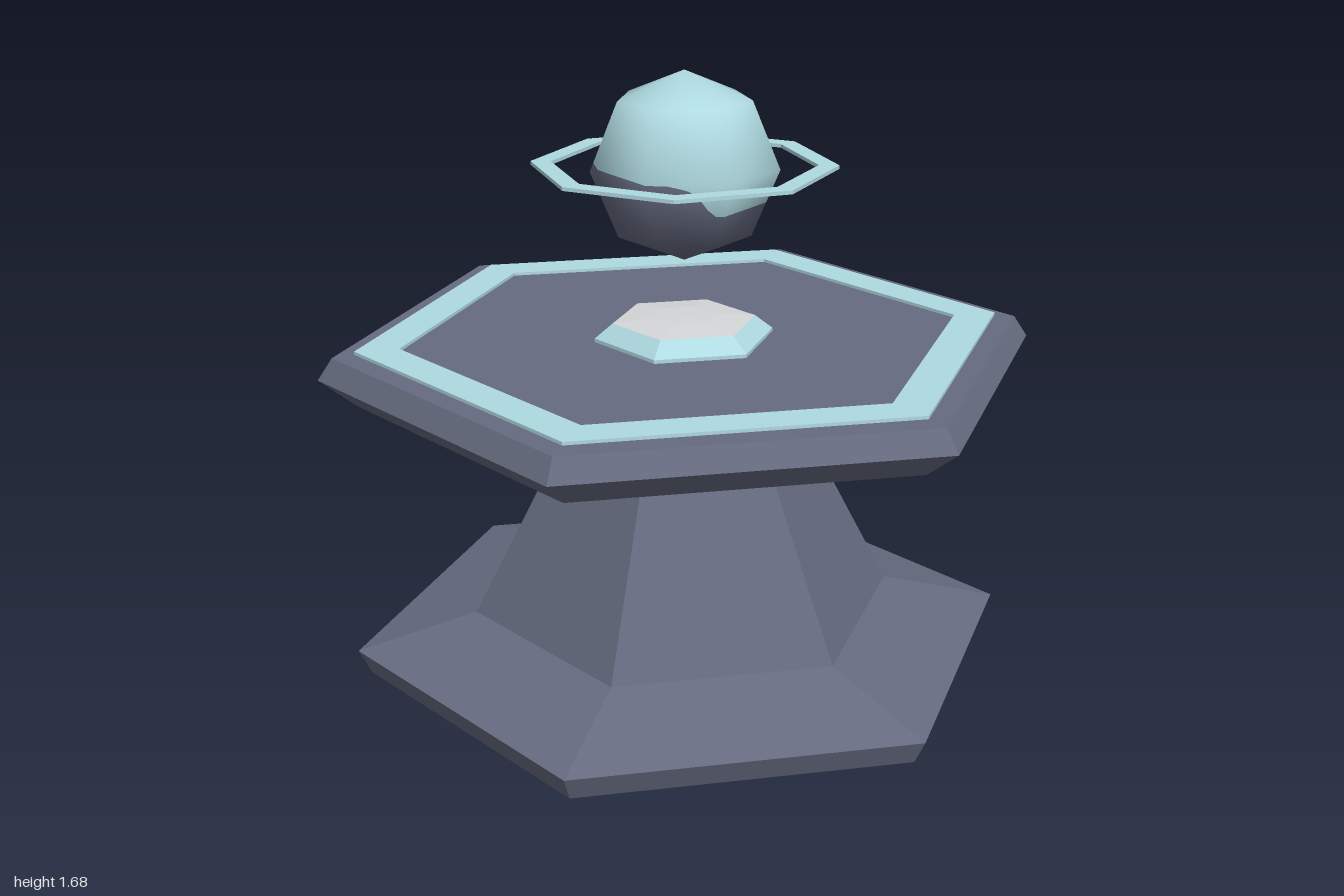
import * as THREE from 'three';

const slate = new THREE.MeshStandardMaterial({ color: 0x666b80 });
slate.name = 'slate';
const paleTeal = new THREE.MeshStandardMaterial({ color: 0xafdae1 });
paleTeal.name = 'paleTeal';
const paleGrey = new THREE.MeshStandardMaterial({ color: 0xd4d6d8 });
paleGrey.name = 'paleGrey';

// Faceted solid turned from a [radius, y] profile listed from bottom to top
function faceted(name, profile, sides, material) {
  const points = profile.map(([r, y]) => new THREE.Vector2(r, y));
  const geometry = new THREE.LatheGeometry(points, sides).toNonIndexed();
  geometry.computeVertexNormals();
  const mesh = new THREE.Mesh(geometry, material);
  mesh.name = name;
  return mesh;
}

// Flat polygonal band with a rectangular section
function band(name, inner, outer, y0, y1, sides, material) {
  const profile = [[inner, y0], [outer, y0], [outer, y1], [inner, y1], [inner, y0]];
  return faceted(name, profile, sides, material);
}

const lerpTable = (table, t) => {
  for (let i = 1; i < table.length; i++) {
    const [a, va] = table[i - 1], [b, vb] = table[i];
    if (t <= b) return va + (vb - va) * (t - a) / (b - a);
  }
  return table[table.length - 1][1];
};

// Orb: seven sides, four tiers, smooth normals
const ORB_Y = 1.42, R = 0.26, D = R * Math.SQRT1_2, SIDES = 7, SUB = 8;
const orbProfile = [[-R, 0], [-D, D], [0, R], [D, D], [R, 0]];
// Height of the colour boundary by angle in degrees, from +x towards +z
const boundary = [
  [0, -0.09], [112, -0.09], [125, -0.02], [140, 0], [200, 0.01], [225, 0.07],
  [250, 0.01], [300, 0.04], [325, -0.03], [348, -0.08], [360, -0.09],
];

function orbPart(name, rowsAt, material) {
  const positions = [], normals = [], index = [];
  const cols = SIDES * SUB;
  let rowCount = 0;
  for (let j = 0; j <= cols; j++) {
    const rows = rowsAt(lerpTable(boundary, j / cols * 360));
    rowCount = rows.length;
    // Walk along the straight edges of the heptagon
    const side = Math.floor(j / SUB), t = j / SUB - side;
    const a = side / SIDES * Math.PI * 2, b = (side + 1) / SIDES * Math.PI * 2;
    const ux = Math.cos(a) * (1 - t) + Math.cos(b) * t;
    const uz = Math.sin(a) * (1 - t) + Math.sin(b) * t;
    for (const y of rows) {
      const r = lerpTable(orbProfile, y);
      const p = new THREE.Vector3(ux * r, y, uz * r);
      positions.push(p.x, p.y, p.z);
      normals.push(...p.normalize().toArray());
    }
  }
  for (let j = 0; j < cols; j++) {
    for (let i = 0; i < rowCount - 1; i++) {
      const p = j * rowCount + i, q = p + rowCount;
      index.push(p, q, p + 1, q, q + 1, p + 1);
    }
  }
  const geometry = new THREE.BufferGeometry();
  geometry.setAttribute('position', new THREE.Float32BufferAttribute(positions, 3));
  geometry.setAttribute('normal', new THREE.Float32BufferAttribute(normals, 3));
  geometry.setIndex(index);
  const mesh = new THREE.Mesh(geometry, material);
  mesh.name = name;
  return mesh;
}

export function createModel() {
  const model = new THREE.Group();
  model.name = 'pedestalWithOrb';

  // Hexagonal pedestal
  model.add(
    faceted('base', [[0, 0], [0.9, 0], [0.935, 0.07], [0.6, 0.16]], 6, slate),
    faceted('column', [[0.6, 0.16], [0.36, 0.625]], 6, slate),
    faceted('tableTop', [[0.36, 0.625], [0.9, 0.8], [1, 0.88], [0.96, 0.94], [0, 0.94]], 6, slate),
    band('tableInlay', 0.78, 0.9, 0.946, 0.955, 6, paleTeal),
  );

  // Raised emitter in the middle of the table
  model.add(
    faceted('emitterRim', [[0.25, 0.94], [0.25, 0.95], [0.2, 0.99]], 6, paleTeal),
    faceted('emitterCap', [[0.2, 0.99], [0.1, 0.998], [0, 1]], 6, paleGrey),
  );

  // Floating orb, split along its colour boundary
  const orb = new THREE.Group();
  orb.name = 'orb';
  orb.position.y = ORB_Y;
  orb.add(
    orbPart('orbUpper', (b) => [R, D, Math.max(0, b), b], paleTeal),
    orbPart('orbLower', (b) => [b, Math.min(0, b), -D, -R], slate),
  );
  model.add(orb);

  // Octagonal ring around the orb
  model.add(band('orbRing', 0.36, 0.415, 1.418, 1.428, 8, paleTeal));
  return model;
}
